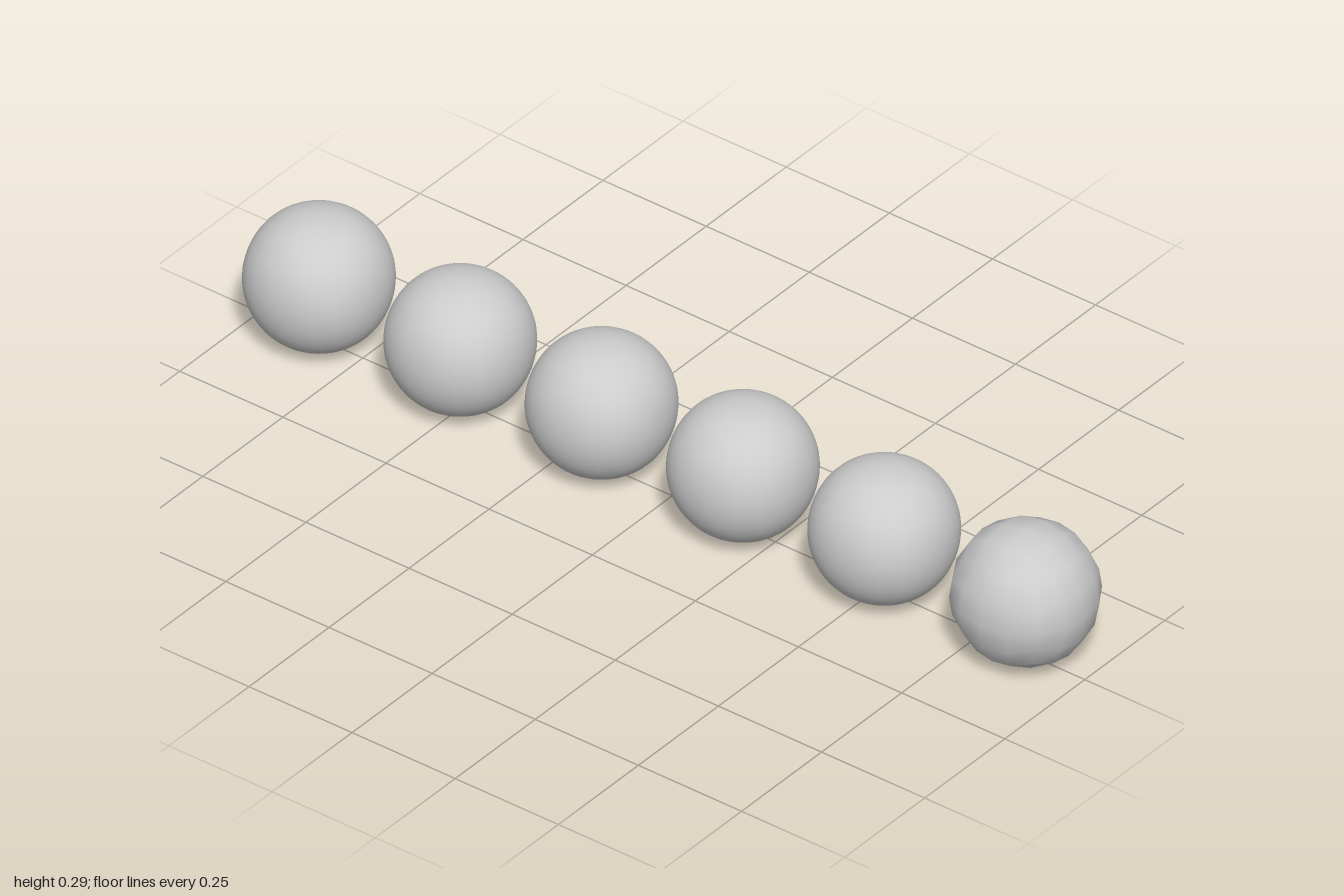
import * as THREE from 'three';
import { mergeVertices } from 'three/addons/utils/BufferGeometryUtils.js';

const COUNT = 6;
const HALF = 0.1713;           // half the spacing between balls
const RADIUS = 0.8395 * HALF;  // reach of a ball along an axis

// A cube grid swollen into a slightly squarish ball
function ballGeometry(segments) {
  let geometry = new THREE.BoxGeometry(2, 2, 2, segments, segments, segments);
  geometry.deleteAttribute('uv');
  geometry.deleteAttribute('normal');
  geometry = mergeVertices(geometry);
  const pos = geometry.attributes.position;
  const v = new THREE.Vector3();
  const even = (t) => Math.tan(t * Math.PI / 4);
  for (let i = 0; i < pos.count; i++) {
    v.fromBufferAttribute(pos, i);
    v.set(even(v.x), even(v.y), even(v.z)).normalize();
    const quartic = v.x ** 4 + v.y ** 4 + v.z ** 4;
    const corner = (v.x * v.y * v.z) ** 2;
    v.multiplyScalar(HALF * (0.8845 - 0.045 * quartic - 0.0945 * corner));
    pos.setXYZ(i, v.x, v.y, v.z);
  }
  geometry.computeVertexNormals();
  return geometry;
}

export function createModel() {
  const group = new THREE.Group();
  group.name = 'ballRow';
  const material = new THREE.MeshStandardMaterial({ color: 0xcccccc });
  const smooth = ballGeometry(16);
  const coarse = ballGeometry(4);

  // Row of balls from back to front; the front one is coarser
  for (let i = 0; i < COUNT; i++) {
    const isFront = i === COUNT - 1;
    const ball = new THREE.Mesh(isFront ? coarse : smooth, material);
    ball.name = isFront ? 'frontBall' : `ball${i + 1}`;
    ball.position.set(0, RADIUS, (i - (COUNT - 1) / 2) * 2 * HALF);
    group.add(ball);
  }
  return group;
}
